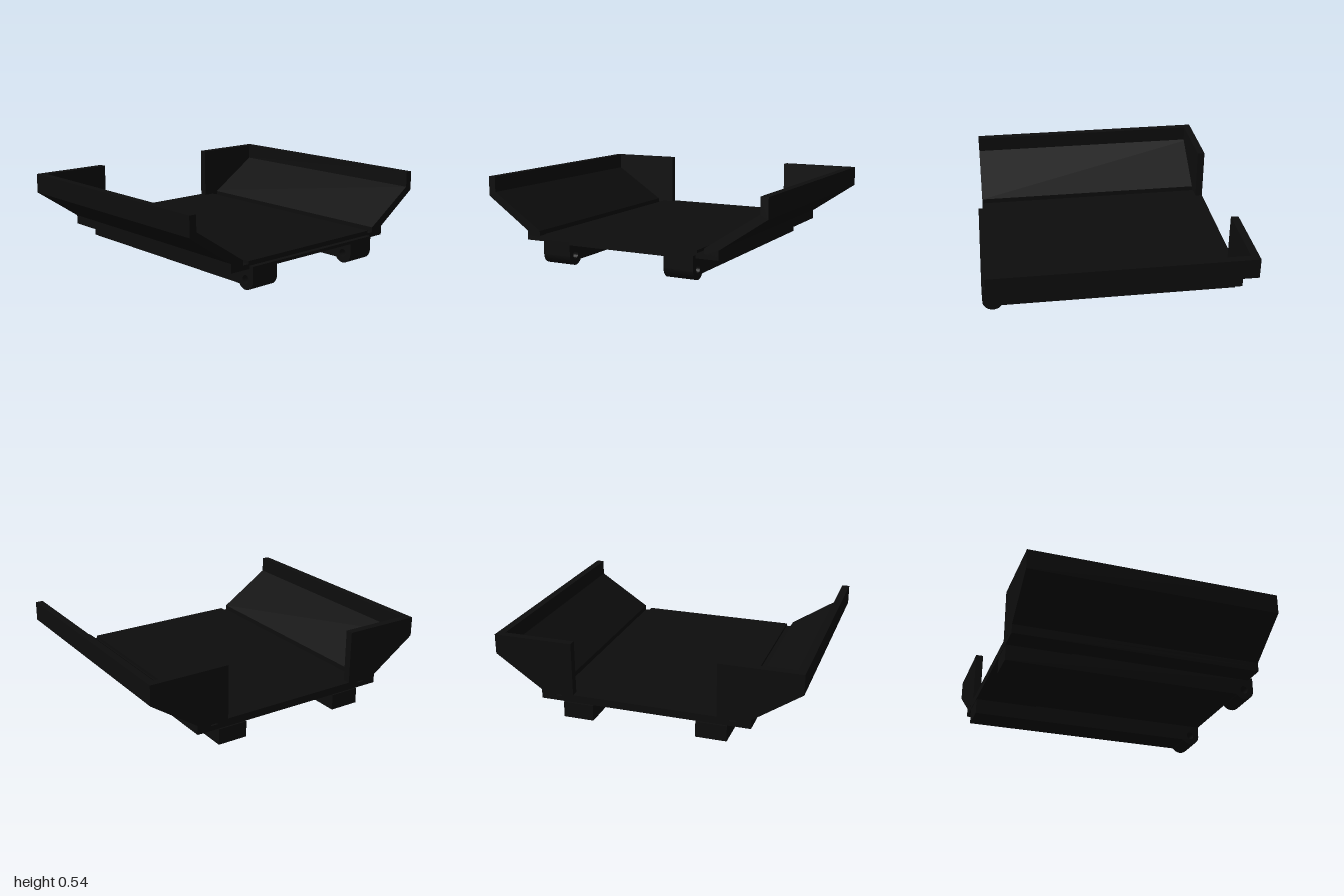
import * as THREE from 'three';

const BACK = -0.84, FRONT = 0.81;

export function createModel() {
  const model = new THREE.Group();
  const black = new THREE.MeshStandardMaterial({ color: 0x0d0d0d });
  black.name = 'black';

  function add(name, geometry) {
    const mesh = new THREE.Mesh(geometry, black);
    mesh.name = name;
    model.add(mesh);
    return mesh;
  }

  function box(name, x0, x1, y0, y1, z0, z1) {
    const g = new THREE.BoxGeometry(x1 - x0, y1 - y0, z1 - z0);
    g.translate((x0 + x1) / 2, (y0 + y1) / 2, (z0 + z1) / 2);
    return add(name, g);
  }

  // Cross-section in x/y, mirrored by sign and extruded along z
  function section(name, points, side, z0, z1) {
    const shape = new THREE.Shape(points.map(([x, y]) => new THREE.Vector2(x * side, y)));
    const g = new THREE.ExtrudeGeometry(shape, { depth: z1 - z0, bevelEnabled: false });
    g.translate(0, 0, z0);
    return add(name, g);
  }

  // Side profile of a rail with the round hinge eye at its front end
  function railGeometry(x0, x1) {
    const hz = 0.775, hy = 0.068, r = 0.067;
    const s = new THREE.Shape();
    s.moveTo(BACK, 0.03);
    s.lineTo(hz - 0.055, 0.03);
    s.absarc(hz, hy, r, Math.PI + 0.6, Math.PI * 2, false);
    s.lineTo(hz + r, 0.16);
    s.lineTo(FRONT, 0.16);
    s.lineTo(FRONT, 0.14);
    s.lineTo(-0.41, 0.14);
    s.lineTo(-0.41, 0.134);
    s.lineTo(BACK, 0.134);
    s.closePath();
    const hole = new THREE.Path();
    hole.absarc(hz, hy, 0.026, 0, Math.PI * 2, true);
    s.holes.push(hole);
    const g = new THREE.ExtrudeGeometry(s, { depth: x1 - x0, bevelEnabled: false, curveSegments: 16 });
    g.rotateY(-Math.PI / 2); // profile axis becomes z, depth becomes -x
    g.translate(x1, 0, 0);
    return g;
  }

  // Floor: wide base with a raised plate, leaving a groove beside each wing
  box('floorBase', -0.69, 0.69, 0.14, 0.172, BACK, FRONT);
  box('floorPlate', -0.55, 0.55, 0.172, 0.19, BACK, FRONT);
  box('frontLip', -0.34, 0.34, 0.14, 0.16, FRONT, 0.842);

  for (const side of [1, -1]) {
    const label = side > 0 ? 'left' : 'right';

    // Flared side wall with an upright rim
    section(label + 'Wing', [
      [0.595, 0.165], [0.69, 0.165], [0.69, 0.2], [1, 0.41],
      [1, 0.54], [0.95, 0.54], [0.95, 0.437], [0.595, 0.205],
    ], side, BACK, FRONT);

    // Rear end panel
    section(label + 'EndPanel', [
      [0.473, 0.18], [0.68, 0.18], [0.69, 0.2], [0.999, 0.41], [0.999, 0.54], [0.473, 0.54],
    ], side, BACK, BACK + 0.05);

    // Chassis rail with hinge eye
    add(label + 'Rail', side > 0 ? railGeometry(0.34, 0.54) : railGeometry(-0.54, -0.34));
  }
  return model;
}
